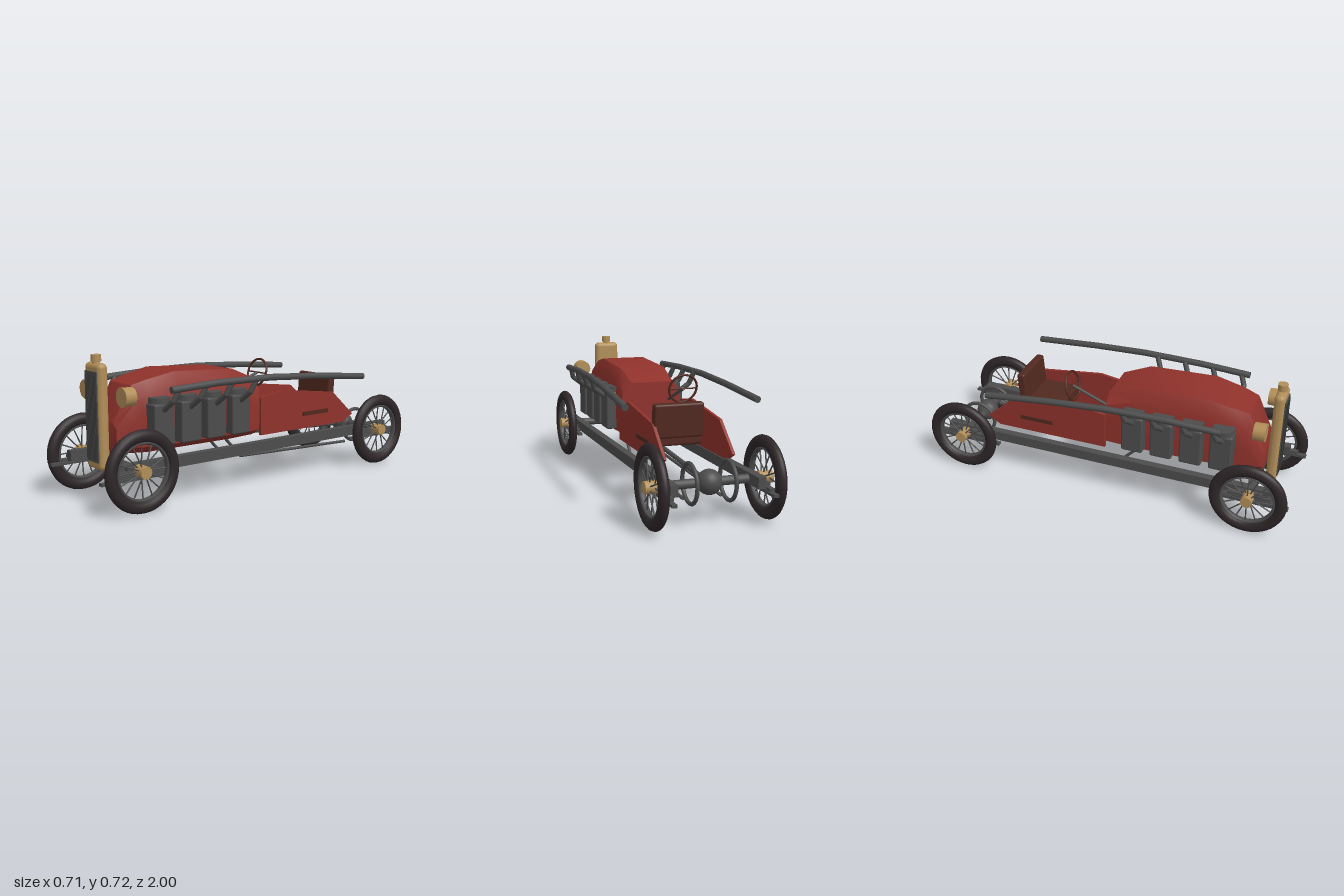
import * as THREE from 'three';
import { toCreasedNormals } from 'three/addons/utils/BufferGeometryUtils.js';
import { RoundedBoxGeometry } from 'three/addons/geometries/RoundedBoxGeometry.js';

const V = (x, y, z) => new THREE.Vector3(x, y, z);

function material(name, color) {
  const m = new THREE.MeshStandardMaterial({ color });
  m.name = name;
  return m;
}

// Closed loft through body sections, each a ring running anticlockwise seen from the front
function loft(rings) {
  const n = rings[0].length, pos = rings.flat(2), idx = [];
  for (let i = 0; i < rings.length - 1; i++)
    for (let j = 0; j < n; j++) {
      const a = i * n + j, b = i * n + (j + 1) % n, c = a + n, d = b + n;
      idx.push(a, b, d, a, d, c);
    }
  const last = (rings.length - 1) * n;
  for (let j = 1; j < n - 1; j++) idx.push(0, j + 1, j, last, last + j, last + j + 1);
  const g = new THREE.BufferGeometry();
  g.setAttribute('position', new THREE.Float32BufferAttribute(pos, 3));
  g.setIndex(idx);
  return toCreasedNormals(g, 0.65);
}

export function createModel() {
  const model = new THREE.Group();
  const red = material('red paint', 0x8f322b);
  const steel = material('dark steel', 0x4c4c4c);
  const brass = material('brass', 0xb18e58);
  const rubber = material('tyre rubber', 0x2e2628);
  const leather = material('brown leather', 0x51291f);
  const slatGrey = material('grille slats', 0x383838);

  function add(name, geo, mat, x = 0, y = 0, z = 0, parent = model) {
    const m = new THREE.Mesh(geo, mat);
    m.name = name;
    m.position.set(x, y, z);
    parent.add(m);
    return m;
  }
  const box = (name, w, h, d, mat, x, y, z, parent) =>
    add(name, new THREE.BoxGeometry(w, h, d), mat, x, y, z, parent);
  const rounded = (name, w, h, d, r, mat, x, y, z) =>
    add(name, new RoundedBoxGeometry(w, h, d, 3, r), mat, x, y, z);
  function rod(name, a, b, r, mat, parent = model) {
    const m = add(name, new THREE.CylinderGeometry(r, r, a.distanceTo(b), 16), mat, 0, 0, 0, parent);
    m.position.copy(a).add(b).multiplyScalar(0.5);
    m.quaternion.setFromUnitVectors(V(0, 1, 0), b.clone().sub(a).normalize());
    return m;
  }
  // Bent pipe: straight rods with a ball at each bend
  function pipe(name, pts, r, mat) {
    const g = new THREE.Group();
    g.name = name;
    model.add(g);
    for (let i = 1; i < pts.length; i++) {
      rod(name + 'Run', pts[i - 1], pts[i], r, mat, g);
      if (i < pts.length - 1) add(name + 'Bend', new THREE.SphereGeometry(r, 14, 10), mat, ...pts[i].toArray(), g);
    }
  }

  // Bonnet: z, half width, top half width, top y, shoulder y, bottom y
  const section = ([z, w, t, top, sh, bot]) => {
    const half = [[w * 0.62, bot], [w * 0.97, bot + 0.035], [w, sh - 0.1], [w * 0.95, sh], [t, top]];
    return [...half.map(([x, y]) => [x, y, z]), ...half.reverse().map(([x, y]) => [-x, y, z])];
  };
  add('bonnet', loft([
    [0, 0.17, 0.11, 0.55, 0.5, 0.245],
    [0.15, 0.17, 0.125, 0.61, 0.55, 0.24],
    [0.51, 0.162, 0.122, 0.626, 0.565, 0.24],
    [0.66, 0.155, 0.11, 0.597, 0.54, 0.24],
    [0.74, 0.14, 0.095, 0.575, 0.5, 0.245],
    [0.83, 0.11, 0.07, 0.4, 0.375, 0.25],
  ].map(section)), red);

  // Cockpit side panels
  const side = new THREE.Shape([[0, 0.25], [0.62, 0.25], [0.69, 0.29], [0.53, 0.43], [0.16, 0.475], [0, 0.45]]
    .map(([x, y]) => new THREE.Vector2(x, y)));
  const sideGeo = new THREE.ExtrudeGeometry(side, { depth: 0.015, bevelEnabled: false });
  sideGeo.rotateY(Math.PI / 2).translate(-0.0075, 0, 0);

  // Radiator with slatted grille and filler cap
  rounded('radiatorShell', 0.143, 0.515, 0.055, 0.025, brass, 0, 0.4275, 0.868);
  box('grille', 0.106, 0.435, 0.006, steel, 0, 0.4275, 0.897);
  for (let i = -4; i <= 4; i++) box('grilleSlat', 0.005, 0.405, 0.006, slatGrey, i * 0.0115, 0.4275, 0.901);
  add('fillerNeck', new THREE.CylinderGeometry(0.018, 0.018, 0.02, 20), brass, 0, 0.688, 0.868);
  add('fillerCap', new THREE.CylinderGeometry(0.025, 0.025, 0.033, 24), brass, 0, 0.706, 0.868);

  // Seat
  rounded('seatCushion', 0.255, 0.06, 0.23, 0.012, leather, 0.048, 0.345, -0.415);
  rounded('seatBack', 0.255, 0.17, 0.045, 0.012, leather, 0.048, 0.44, -0.525).rotation.x = -0.08;

  // Steering
  rod('steeringColumn', V(-0.1, 0.45, 0.01), V(-0.1, 0.54, -0.21), 0.008, steel);
  const wheelRim = add('steeringWheel', new THREE.TorusGeometry(0.076, 0.006, 10, 32), leather, -0.1, 0.54, -0.21);
  wheelRim.rotation.x = -0.28;
  rod('steeringSpoke', V(-0.074, 0, 0), V(0.074, 0, 0), 0.004, leather, wheelRim);

  // Axles, differential and propeller shaft
  for (const z of [0.8, -0.8]) rod('axle', V(-0.28, 0.2, z), V(0.28, 0.2, z), 0.022, steel);
  add('differential', new THREE.SphereGeometry(0.06, 24, 16), steel, 0, 0.2, -0.8);
  rod('propellerShaft', V(0, 0.2, -0.72), V(0, 0.25, 0.2), 0.012, steel);

  for (const s of [1, -1]) {
    add('cockpitSide', sideGeo, red, s * 0.173, 0, 0);
    box('sideSlot', 0.006, 0.022, 0.19, leather, s * 0.1825, 0.33, -0.395);
    box('chassisRail', 0.038, 0.054, 1.83, steel, s * 0.212, 0.203, 0);

    // Leaf springs, longest leaf lowest
    for (const z of [0.8, -0.8])
      for (let i = 0; i < 4; i++)
        box('springLeaf', 0.025, 0.014, 0.4 - i * 0.09, steel, s * 0.242, 0.162 + i * 0.017, z);

    // Rear drum hoops and low brake rods
    add('rearHoop', new THREE.TorusGeometry(0.093, 0.01, 10, 32), steel, s * 0.095, 0.2, -0.8).rotation.y = Math.PI / 2;
    pipe('brakeRod', [V(s * 0.095, 0.24, 0.17), V(s * 0.095, 0.135, 0.07), V(s * 0.095, 0.108, -0.72)], 0.008, steel);

    // Headlamps
    const lamp = add('headlamp', new THREE.CylinderGeometry(0.047, 0.044, 0.06, 28), brass, s * 0.172, 0.535, 0.81);
    lamp.rotation.x = Math.PI / 2;

    // Cylinder blocks with their exhaust stubs
    for (let i = 0; i < 4; i++) {
      const z = 0.63 - i * 0.156;
      rounded('cylinderBlock', 0.1, 0.205, 0.116, 0.01, steel, s * 0.17, 0.388, z);
      add('cylinderHead', new THREE.CylinderGeometry(0.054, 0.054, 0.03, 24), steel, s * 0.17, 0.502, z);
      pipe('exhaustStub', [V(s * 0.2, 0.45, z + 0.005), V(s * 0.277, 0.51, z - 0.01), V(s * 0.297, 0.575, z - 0.035)], 0.014, steel);
    }
    // Long exhaust pipe
    pipe('exhaustPipe', [V(s * 0.296, 0.565, 0.645), V(s * 0.302, 0.577, 0.38), V(s * 0.312, 0.577, 0.05),
      V(s * 0.323, 0.56, -0.25), V(s * 0.336, 0.53, -0.6)], 0.017, steel);

    // Spoked wheels
    for (const z of [0.8, -0.8]) {
      const wheel = new THREE.Group();
      wheel.name = 'wheel';
      wheel.position.set(s * 0.28, 0.2, z);
      wheel.rotation.y = Math.PI / 2;
      model.add(wheel);
      add('tyre', new THREE.TorusGeometry(0.168, 0.031, 12, 40), rubber, 0, 0, 0, wheel).scale.z = 0.82;
      add('rim', new THREE.TorusGeometry(0.136, 0.008, 8, 40), steel, 0, 0, 0, wheel).scale.z = 2;
      rod('hub', V(0, 0, -0.035), V(0, 0, 0.035), 0.03, brass, wheel);
      for (let i = 0; i < 16; i++) {
        const a = i * Math.PI / 8, c = Math.cos(a), n = Math.sin(a), d = i % 2 ? 0.012 : -0.012;
        rod('spoke', V(c * 0.02, n * 0.02, d), V(c * 0.138, n * 0.138, 0), 0.0035, steel, wheel);
      }
    }
  }
  return model;
}
